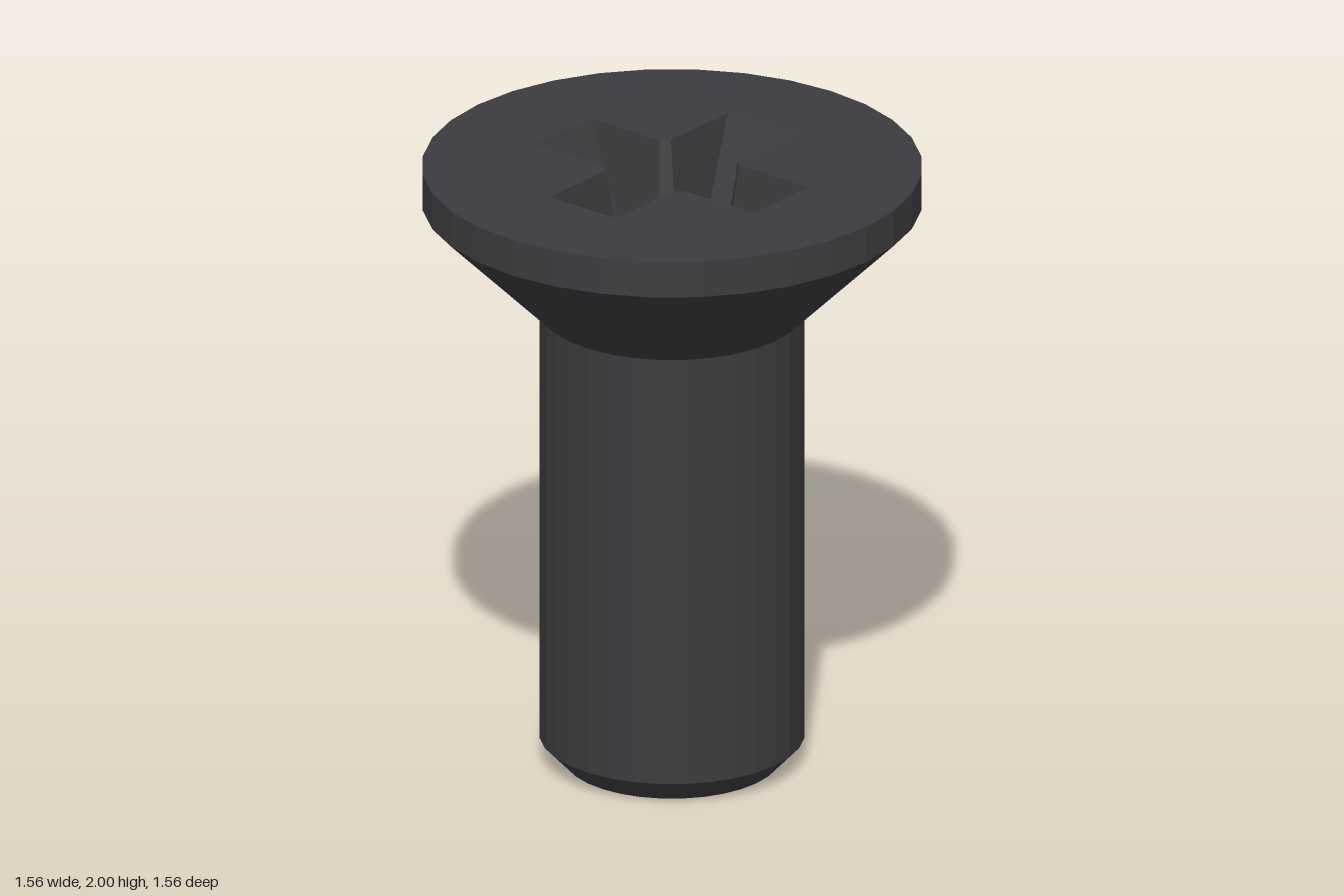
import * as THREE from 'three';

const SIDES = 32;
const TOP = 2, FLOOR = 1.64, PIT = 0.155;

// Cross outline, counter-clockwise: arm length, half width, corner chamfer
function crossOutline(length, half, corner) {
  const quarter = [[length, half], [corner, half], [half, corner], [half, length]];
  const points = [];
  for (let k = 0; k < 4; k++) {
    for (const [x, y] of quarter) {
      points.push(new THREE.Vector2(x, y).rotateAround(new THREE.Vector2(), k * Math.PI / 2));
    }
  }
  return points;
}

function circle(radius) {
  return Array.from({ length: SIDES }, (_, i) => {
    const a = i / SIDES * Math.PI * 2;
    return new THREE.Vector2(Math.cos(a) * radius, Math.sin(a) * radius);
  });
}

// Flat horizontal face with a hole, facing up
function plate(outline, hole, y) {
  const shape = new THREE.Shape(outline);
  shape.holes.push(new THREE.Path(hole));
  return new THREE.ShapeGeometry(shape).rotateX(-Math.PI / 2).translate(0, y, 0);
}

function lathe(profile) {
  return new THREE.LatheGeometry(profile.map(([r, y]) => new THREE.Vector2(r, y)), SIDES);
}

// Inward-facing walls joining two outlines
function walls(upper, lower) {
  const positions = [];
  upper.forEach((p, i) => {
    const j = (i + 1) % upper.length;
    const a = [p.x, TOP, -p.y], b = [upper[j].x, TOP, -upper[j].y];
    const c = [lower[j].x, FLOOR, -lower[j].y], d = [lower[i].x, FLOOR, -lower[i].y];
    positions.push(...a, ...b, ...c, ...a, ...c, ...d);
  });
  const geometry = new THREE.BufferGeometry();
  geometry.setAttribute('position', new THREE.Float32BufferAttribute(positions, 3));
  geometry.computeVertexNormals();
  return geometry;
}

export function createModel() {
  const group = new THREE.Group();
  group.name = 'countersunkScrew';
  const material = new THREE.MeshStandardMaterial({ color: 0x3c3c40, flatShading: true });
  const add = (name, geometry) => {
    const mesh = new THREE.Mesh(geometry, material);
    mesh.name = name;
    group.add(mesh);
  };

  const upper = crossOutline(0.44, 0.135, 0.16);
  const lower = crossOutline(0.26, 0.09, 0.132);

  // Shank with chamfered tip
  add('shank', lathe([[0, 0], [0.34, 0], [0.415, 0.08], [0.415, 1.515]]));
  // Conical head and its rim
  add('head', lathe([[0.415, 1.515], [0.782, 1.88], [0.782, TOP]]));
  add('headTop', plate(circle(0.782), upper, TOP));
  // Tapered cross recess with a conical pit
  add('recessWalls', walls(upper, lower));
  add('recessFloor', plate(lower, circle(PIT), FLOOR));
  add('recessPit', lathe([[PIT, FLOOR], [0, 1.56]]));
  return group;
}
